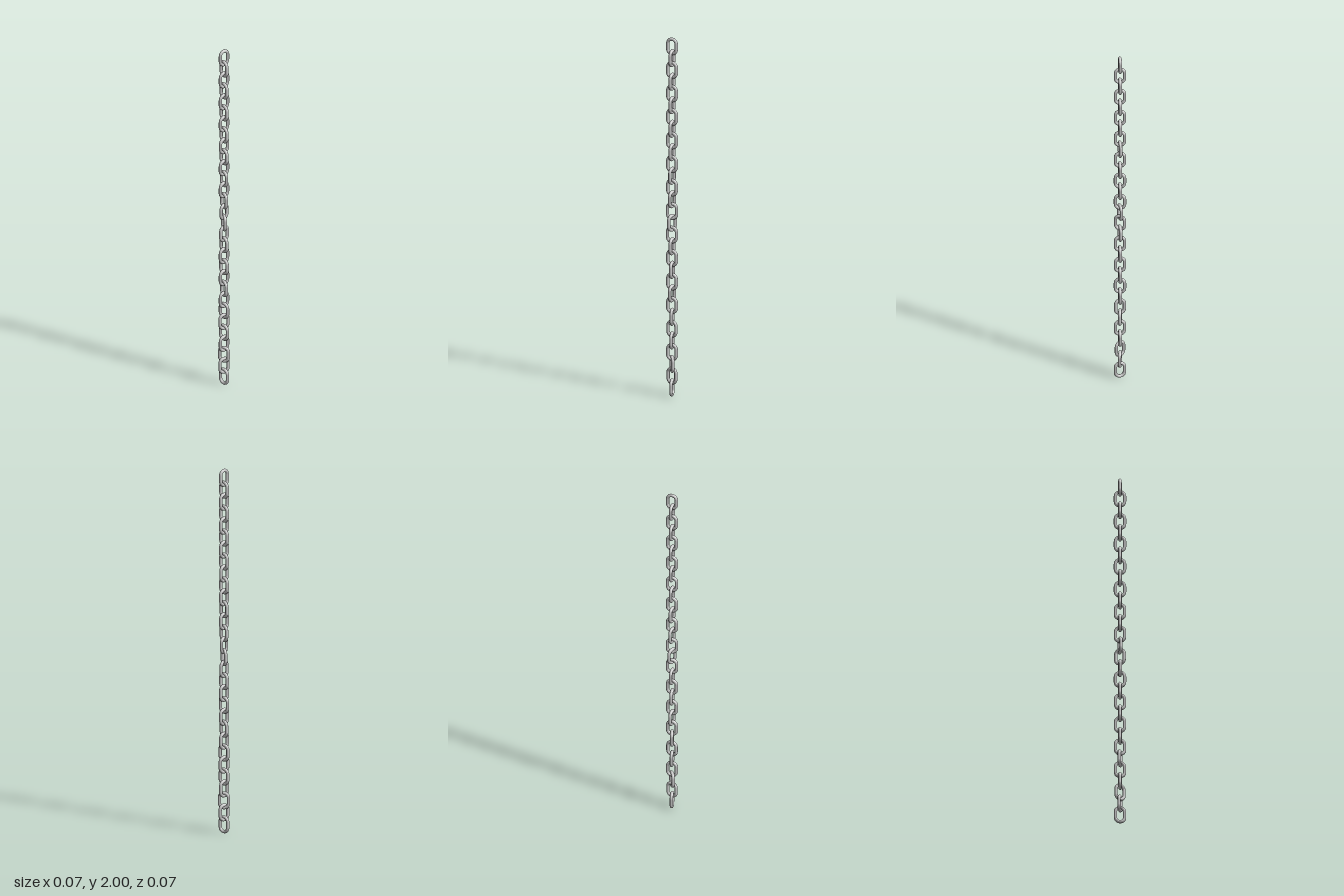
import * as THREE from 'three';

const LINKS = 30;
const WIRE = 0.0088;          // wire radius
const HALF_W = 0.033;         // outer half width of a link
const HALF_H = 0.049;         // outer half height of a link
// extra twist in degrees of the links that hang out of line
const TWIST = { 8: 4, 11: -5, 13: -8, 14: 13, 15: -22, 16: 6, 19: 6, 21: -8, 23: 14, 24: -8, 25: 10, 27: 33, 28: -10, 29: 10 };

// Closed oval centreline: two half circles joined by straight sides
class LinkCurve extends THREE.Curve {
  getPoint(t, target = new THREE.Vector3()) {
    const r = HALF_W - WIRE, s = HALF_H - WIRE - r;
    const arc = Math.PI * r, total = 2 * arc + 4 * s;
    let d = (((t % 1) + 1) % 1) * total;
    const sign = d < total / 2 ? 1 : -1;
    if (sign < 0) d -= total / 2;
    if (d < arc) {
      const a = d / r;
      target.set(r * Math.cos(a), s + r * Math.sin(a), 0);
    } else {
      target.set(-r, s - (d - arc), 0);
    }
    return target.multiplyScalar(sign);
  }
}

export function createModel() {
  const chain = new THREE.Group();
  chain.name = 'chain';
  const material = new THREE.MeshStandardMaterial({ color: 0xcccccc });
  const geometry = new THREE.TubeGeometry(new LinkCurve(), 48, WIRE, 12, true);
  const pitch = (2 - 2 * HALF_H) / (LINKS - 1);

  // Links hang from the top down, each turned a quarter from the last
  for (let i = 0; i < LINKS; i++) {
    const link = new THREE.Mesh(geometry, material);
    link.name = `link${i + 1}`;
    link.position.y = 2 - HALF_H - i * pitch;
    link.rotation.y = (i % 2) * Math.PI / 2 + THREE.MathUtils.degToRad(TWIST[i] ?? 0);
    chain.add(link);
  }
  return chain;
}
